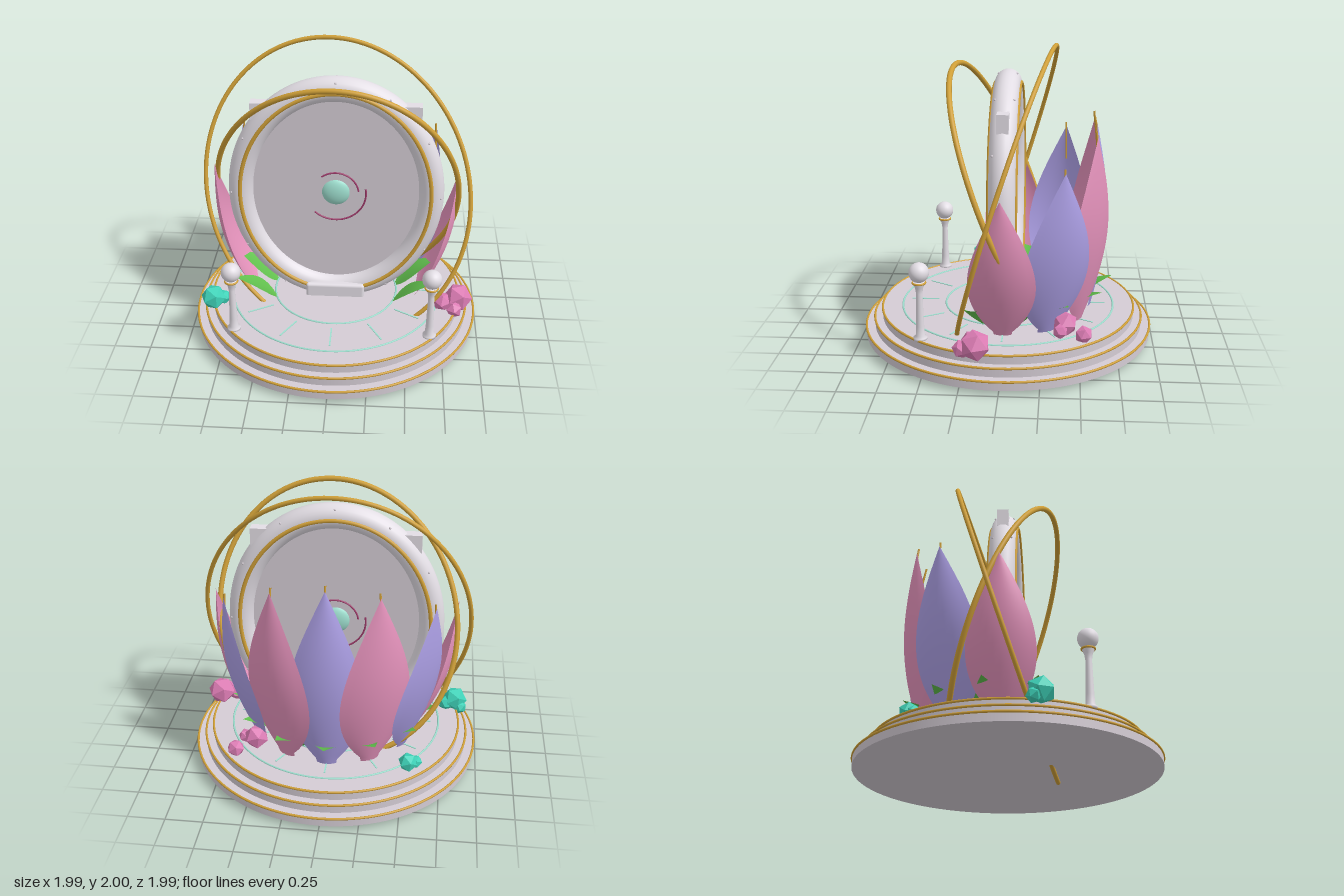
import * as THREE from 'three';
import { RoundedBoxGeometry } from 'three/addons/geometries/RoundedBoxGeometry.js';

const mat = (name, color, double) => {
  const m = new THREE.MeshStandardMaterial({ color });
  m.name = name;
  if (double) m.side = THREE.DoubleSide;
  return m;
};

export function createModel() {
  const M = {
    ivory: mat('ivory', 0xe2dde4),
    stone: mat('stone', 0xd4ccd4),
    gold: mat('gold', 0xd0a038),
    pink: mat('petal pink', 0xe492bb, true),
    lilac: mat('petal lilac', 0xada0e6, true),
    green: mat('leaf green', 0x62c04e, true),
    teal: mat('crystal teal', 0x3ed2b8),
    rose: mat('crystal rose', 0xdc7cb4),
    mint: mat('mint', 0x9fe0d0),
    plum: mat('plum', 0xa03c6c),
  };
  M.teal.flatShading = M.rose.flatShading = true;

  const model = new THREE.Group();
  const add = (name, geo, material, x = 0, y = 0, z = 0, parent = model) => {
    const mesh = new THREE.Mesh(geo, material);
    mesh.name = name;
    mesh.position.set(x, y, z);
    parent.add(mesh);
    return mesh;
  };
  const group = (name, parent = model) => {
    const g = new THREE.Group();
    g.name = name;
    parent.add(g);
    return g;
  };
  // Closed tube along the ellipse u cos t + v sin t
  const ellipseTube = (u, v, radius, sides = 12) => {
    const pts = [];
    for (let i = 0; i < 64; i++) {
      const t = (i / 64) * Math.PI * 2;
      pts.push(new THREE.Vector3(...u).multiplyScalar(Math.cos(t))
        .addScaledVector(new THREE.Vector3(...v), Math.sin(t)));
    }
    return new THREE.TubeGeometry(new THREE.CatmullRomCurve3(pts, true), 128, radius, sides, true);
  };

  // Three-step platform with gold rims
  [[0.985, 0.03], [0.925, 0.09], [0.87, 0.15]].forEach(([r, y]) => {
    add('platformStep', new THREE.CylinderGeometry(r, r, 0.06, 96), M.stone, 0, y + 0.03, 0);
    add('platformRim', new THREE.TorusGeometry(r, 0.008, 8, 96), M.gold, 0, y + 0.058, 0).rotation.x = Math.PI / 2;
  });

  // Inlaid floor rings and ticks
  for (const r of [0.43, 0.73]) {
    add('floorRing', new THREE.TorusGeometry(r, 0.007, 6, 96), M.mint, 0, 0.21, 0).rotation.x = Math.PI / 2;
  }
  for (let i = 0; i < 12; i++) {
    const a = (i / 12) * Math.PI * 2;
    add('floorTick', new THREE.BoxGeometry(0.01, 0.006, 0.19), M.mint,
      Math.sin(a) * 0.58, 0.211, Math.cos(a) * 0.58).rotation.y = a;
  }

  // Oval gateway
  const gate = group('gateway');
  gate.position.y = 1;
  add('gateFrame', ellipseTube([0.645, 0, 0], [0, 0.752, 0], 0.085, 24), M.ivory, 0, 0, 0, gate);
  const panel = add('gatePanel', new THREE.CylinderGeometry(1, 1, 0.03, 96), M.stone, 0, 0, 0, gate);
  panel.rotation.x = Math.PI / 2;
  panel.scale.set(0.61, 1, 0.71);
  add('gateOrb', new THREE.SphereGeometry(0.1, 32, 20), M.mint, 0, 0, 0, gate).scale.z = 0.45;
  for (const s of [1, -1]) {
    add('gateTrim', ellipseTube([0.643, 0, 0], [0, 0.747, 0], 0.014, 8), M.gold, 0, 0, s * 0.082, gate);
    add('cornerBlock', new THREE.BoxGeometry(0.12, 0.12, 0.075), M.ivory, s * 0.5, 0.59, 0, gate);
    // Swirl arcs, the same on both faces
    const swirl = group('swirl', gate);
    swirl.rotation.y = s > 0 ? 0 : Math.PI;
    [[0.155, 0.13, 2.1], [0.205, -2.35, 2.55]].forEach(([r, start, len]) => {
      add('swirlArc', new THREE.TorusGeometry(r, 0.006, 8, 40, len), M.plum, 0, 0, 0.03, swirl).rotation.z = start;
    });
    // Rivets
    for (let i = 0; i < 12; i++) {
      const a = (i / 12) * Math.PI * 2;
      add('rivet', new THREE.SphereGeometry(0.008, 8, 6), M.stone,
        Math.cos(a) * 0.705, Math.sin(a) * 0.812, s * 0.06, gate);
    }
  }
  add('gateStep', new RoundedBoxGeometry(0.41, 0.12, 0.22, 3, 0.02), M.ivory, 0, 0.245, 0);

  // Two tilted orbit rings
  add('outerOrbit', ellipseTube([0.905, -0.05, 0.1], [0, 0.984, -0.3], 0.015), M.gold, 0, 1, 0);
  add('innerOrbit', ellipseTube([0.82, 0.03, 0.1], [0, 0.875, 0.335], 0.018), M.gold, 0, 1, 0);

  // Petals and leaves: a sheet bent along an outward arch and cupped across
  const spine = (p, t) => [
    p.y0 + (p.y1 - p.y0) * t + (p.lift || 0) * Math.sin(Math.PI * t),
    p.r0 + (p.r1 - p.r0) * t + p.bulge * Math.sin(Math.PI * t),
  ];
  const blade = (p) => {
    const geo = new THREE.PlaneGeometry(1, 1, 10, 24);
    const pos = geo.attributes.position;
    for (let i = 0; i < pos.count; i++) {
      const s = pos.getX(i) * 2;
      const t = pos.getY(i) + 0.5;
      const w = p.half * Math.max(Math.sin(Math.PI * Math.pow(t, 0.75)), 0.25 * (1 - t) ** 2);
      const [y, r] = spine(p, t);
      pos.setXYZ(i, s * w, y, r - p.cup * s * s * (w / p.half));
    }
    geo.computeVertexNormals();
    return geo;
  };
  const around = (name, degrees) => {
    const g = group(name);
    g.rotation.y = Math.PI - THREE.MathUtils.degToRad(degrees);
    return g;
  };
  // [angle from the back, tip height, tip radius, half width, colour]
  const petals = [
    [0, 1.5, 0.59, 0.245, M.lilac],
    [30, 1.47, 0.68, 0.245, M.pink],
    [60, 1.32, 0.78, 0.24, M.lilac],
    [90, 1.18, 0.82, 0.215, M.pink],
  ];
  for (const [angle, y1, r1, half, material] of petals) {
    for (const s of angle ? [1, -1] : [1]) {
      const p = { y0: 0.19, y1, r0: 0.57, r1, bulge: 0.09, half, cup: 0.075 };
      const g = around('petal', s * angle);
      add('petalBlade', blade(p), material, 0, 0, 0, g);
      if (angle === 90) continue;
      // Gold stamen along the inner tip
      const pts = [0.78, 0.86, 0.94, 1, 1.025].map((t) => {
        const [y, r] = spine(p, t);
        return new THREE.Vector3(0, y, r - 0.008);
      });
      add('stamen', new THREE.TubeGeometry(new THREE.CatmullRomCurve3(pts), 12, 0.007, 6), M.gold, 0, 0, 0, g);
    }
  }
  for (let i = -4; i <= 4; i++) {
    const p = { y0: 0.21, y1: 0.42, r0: 0.43, r1: 0.72, bulge: 0, lift: 0.03, half: 0.09, cup: 0.02 };
    add('leaf', blade(p), M.green, 0, 0, 0, around('leafPivot', i * 27));
  }

  // Crystal clusters: [x, y, z, radius]
  const crystals = (name, material, list) => list.forEach(([x, y, z, r], i) => {
    add(name, new THREE.IcosahedronGeometry(r, 0), material, x, y, z).rotation.set(i * 0.7, 0.4 + i, i * 0.3);
  });
  crystals('tealCrystal', M.teal, [
    [-0.84, 0.26, 0.24, 0.09], [-0.78, 0.24, 0.21, 0.055], [-0.88, 0.22, 0.2, 0.05],
    [-0.54, 0.26, -0.56, 0.065], [-0.59, 0.24, -0.52, 0.045],
  ]);
  crystals('roseCrystal', M.rose, [
    [0.86, 0.27, 0.15, 0.1], [0.75, 0.25, 0.18, 0.07], [0.83, 0.23, 0.24, 0.06],
    [0.5, 0.27, -0.4, 0.085], [0.62, 0.25, -0.52, 0.06], [0.58, 0.25, -0.37, 0.05],
  ]);

  // Front lamp posts
  const profile = [[0, 0.205], [0.045, 0.205], [0.045, 0.222], [0.03, 0.235], [0.026, 0.3],
    [0.02, 0.52], [0.026, 0.56], [0.038, 0.585], [0.038, 0.6], [0, 0.6]].map(([x, y]) => new THREE.Vector2(x, y));
  for (const s of [1, -1]) {
    const post = group('lampPost');
    post.position.set(s * 0.655, 0, 0.52);
    add('postShaft', new THREE.LatheGeometry(profile, 24), M.ivory, 0, 0, 0, post);
    add('postCollar', new THREE.TorusGeometry(0.04, 0.007, 8, 24), M.gold, 0, 0.592, 0, post).rotation.x = Math.PI / 2;
    add('postGlobe', new THREE.SphereGeometry(0.065, 24, 16), M.ivory, 0, 0.66, 0, post);
  }
  return model;
}
